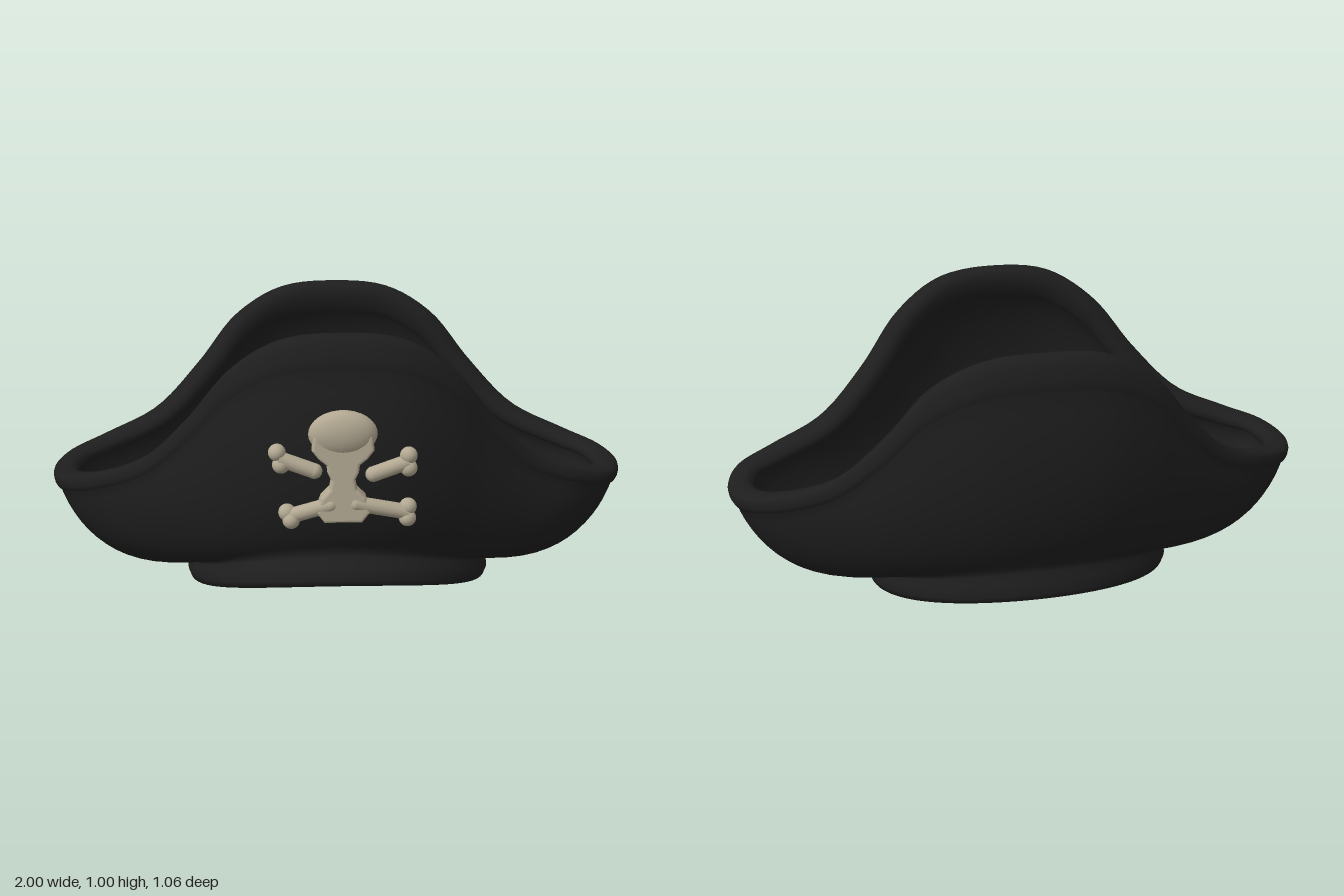
import * as THREE from 'three';

const felt = new THREE.MeshStandardMaterial({ color: 0x1e1e1e });
felt.name = 'black felt';
const bone = new THREE.MeshStandardMaterial({ color: 0xb2a892 });
bone.name = 'old bone';

const V = (x, y, z) => new THREE.Vector3(x, y, z);

// Upper brim edge, from front centre round the left side to back centre
const half = [
  [0, 1.003, 0.38], [0.2, 0.978, 0.367], [0.36, 0.873, 0.325], [0.5, 0.695, 0.27], [0.66, 0.535, 0.222],
  [0.84, 0.46, 0.175], [0.955, 0.43, 0.105], [0.993, 0.42, -0.025], [0.955, 0.43, -0.155], [0.84, 0.46, -0.245],
  [0.66, 0.535, -0.315], [0.5, 0.695, -0.375], [0.36, 0.865, -0.42], [0.2, 0.953, -0.455], [0, 0.973, -0.466],
].map((p) => V(...p));
const mirrored = half.slice(1, -1).reverse().map((p) => V(-p.x, p.y, p.z));
const rim = new THREE.CatmullRomCurve3([...half, ...mirrored], true);

// Oval ring whose height rises from the sides to the front and back
function oval(t, halfWidth, zFront, zBack, ySide, yFront, yBack) {
  const c = Math.cos(t), mid = -0.03;
  const reach = c > 0 ? zFront - mid : mid - zBack;
  const rise = (c > 0 ? yFront : yBack) - ySide;
  return V(halfWidth * Math.sin(t), ySide + rise * Math.abs(c) ** 1.7, mid + reach * c);
}

// Outer brim wall: a cubic sweep from the head band (s = 0) to the edge (s = 1)
function wall(t, s) {
  const c = Math.cos(t), w = c * c, bulge = c * Math.abs(c) ** 0.6;
  const base = oval(t, 0.535, 0.415, -0.435, 0.07, 0.27, 0.205);
  const turn = t / (2 * Math.PI);
  const edge = rim.getPoint(turn - Math.floor(turn));
  const low = base.clone().lerp(edge, 0.67);
  low.y = base.y - 0.05 + 0.17 * w;
  low.z += (c > 0 ? 0.095 : 0.068) * bulge;
  const high = base.clone().lerp(edge, 0.96);
  high.y = base.y + (edge.y - base.y) * 0.55;
  high.z += (c > 0 ? 0.145 : 0.122) * bulge;
  return new THREE.CubicBezierCurve3(base, low, high, edge).getPoint(s);
}

// Wall point pushed along its outward normal
function shell(t, s, offset) {
  const e = 0.01;
  const around = wall(t + e, s).sub(wall(t - e, s));
  const up = wall(t, Math.min(1, s + e)).sub(wall(t, Math.max(0, s - e)));
  return wall(t, s).addScaledVector(around.cross(up).normalize(), offset);
}

// One closed section: band, outer wall, rolled edge, inner wall, lip and head opening
function section(t) {
  const points = [
    oval(t, 0.515, 0.445, -0.435, 0.002, 0.16, 0.085),
    oval(t, 0.535, 0.468, -0.457, 0.006, 0.168, 0.093),
    oval(t, 0.543, 0.473, -0.464, 0.028, 0.19, 0.115),
    oval(t, 0.54, 0.452, -0.45, 0.05, 0.225, 0.155),
    oval(t, 0.533, 0.422, -0.436, 0.066, 0.25, 0.185),
  ];
  for (let i = 0; i <= 14; i++) points.push(shell(t, i * 0.063, 0));
  const roll = [
    [0.89, 0.008], [0.92, 0.012], [0.96, 0.011], [0.985, 0.005], [1, -0.012], [1, -0.038],
    [0.995, -0.056], [0.97, -0.072], [0.93, -0.077], [0.9, -0.071], [0.885, -0.06],
  ];
  for (const [s, offset] of roll) points.push(shell(t, s, offset));
  for (let i = 13; i >= 3; i--) points.push(shell(t, i * 0.063, -0.055));
  points.push(
    oval(t, 0.56, 0.365, -0.41, 0.15, 0.36, 0.31),
    oval(t, 0.54, 0.36, -0.4, 0.22, 0.375, 0.325),
    oval(t, 0.515, 0.35, -0.39, 0.26, 0.38, 0.33),
    oval(t, 0.48, 0.33, -0.375, 0.262, 0.37, 0.32),
    oval(t, 0.46, 0.322, -0.37, 0.235, 0.345, 0.295),
    oval(t, 0.465, 0.34, -0.375, 0.12, 0.265, 0.2),
    oval(t, 0.495, 0.41, -0.415, 0.04, 0.195, 0.12),
  );
  return points;
}

function hatGeometry(steps = 144) {
  const positions = [], index = [];
  let n = 0;
  for (let i = 0; i < steps; i++) {
    const ring = section((i / steps) * Math.PI * 2);
    n = ring.length;
    for (const p of ring) positions.push(p.x, p.y, p.z);
  }
  for (let i = 0; i < steps; i++) {
    const next = (i + 1) % steps;
    for (let j = 0; j < n; j++) {
      const k = (j + 1) % n;
      const a = i * n + j, b = next * n + j, c = next * n + k, d = i * n + k;
      index.push(a, b, c, a, c, d);
    }
  }
  const g = new THREE.BufferGeometry();
  g.setAttribute('position', new THREE.Float32BufferAttribute(positions, 3));
  g.setIndex(index);
  g.computeVertexNormals();
  return g;
}

function ball(name, p, sx, sy = sx, sz = sx) {
  const m = new THREE.Mesh(new THREE.SphereGeometry(1, 24, 16), bone);
  m.name = name;
  m.position.copy(p);
  m.scale.set(sx, sy, sz);
  return m;
}

// Bone with a two-knob end
function crossBone(name, inner, knobA, knobB) {
  const g = new THREE.Group();
  g.name = name;
  const path = new THREE.LineCurve3(inner, knobA.clone().lerp(knobB, 0.5));
  const shaft = new THREE.Mesh(new THREE.TubeGeometry(path, 4, 0.025, 12), bone);
  shaft.name = 'boneShaft';
  g.add(shaft, ball('boneTip', inner, 0.025));
  for (const k of [knobA, knobB]) g.add(ball('boneKnob', k, 0.028));
  return g;
}

// Face plate: brow, notched sockets, nose bridge and flared jaw
function skullFace() {
  const right = [[0.055, 0.43], [0.075, 0.455], [0.062, 0.495], [0.034, 0.525], [0.028, 0.56], [0.04, 0.585],
    [0.043, 0.61], [0.07, 0.632], [0.088, 0.655], [0.085, 0.69]];
  const left = right.map(([x, y]) => [-x, y]).reverse();
  const s = new THREE.Shape([...right, ...left].map(([x, y]) => new THREE.Vector2(x, y)));
  const g = new THREE.ExtrudeGeometry(s, {
    depth: 0.045, bevelEnabled: true, bevelSize: 0.01, bevelThickness: 0.012, bevelSegments: 3,
  });
  // Lean the plate so the jaw stands further forward
  const p = g.attributes.position;
  for (let i = 0; i < p.count; i++) p.setZ(i, p.getZ(i) + 0.474 - (p.getY(i) - 0.43) * 0.12);
  g.computeVertexNormals();
  const m = new THREE.Mesh(g, bone);
  m.name = 'skullFace';
  return m;
}

export function createModel() {
  const model = new THREE.Group();
  model.name = 'cockedHat';
  const hat = new THREE.Mesh(hatGeometry(), felt);
  hat.name = 'hatBrimAndBand';
  model.add(hat);

  const badge = new THREE.Group();
  badge.name = 'skullAndBones';
  badge.add(ball('cranium', V(0, 0.7, 0.471), 0.109, 0.077, 0.045), skullFace());
  badge.add(
    crossBone('upperRightBone', V(-0.09, 0.583, 0.488), V(-0.207, 0.643, 0.478), V(-0.195, 0.603, 0.482)),
    crossBone('upperLeftBone', V(0.095, 0.57, 0.488), V(0.207, 0.628, 0.478), V(0.207, 0.588, 0.482)),
    crossBone('lowerRightBone', V(-0.04, 0.475, 0.506), V(-0.178, 0.443, 0.487), V(-0.165, 0.422, 0.502)),
    crossBone('lowerLeftBone', V(0.04, 0.478, 0.506), V(0.207, 0.458, 0.487), V(0.205, 0.422, 0.494)),
  );
  model.add(badge);
  return model;
}
